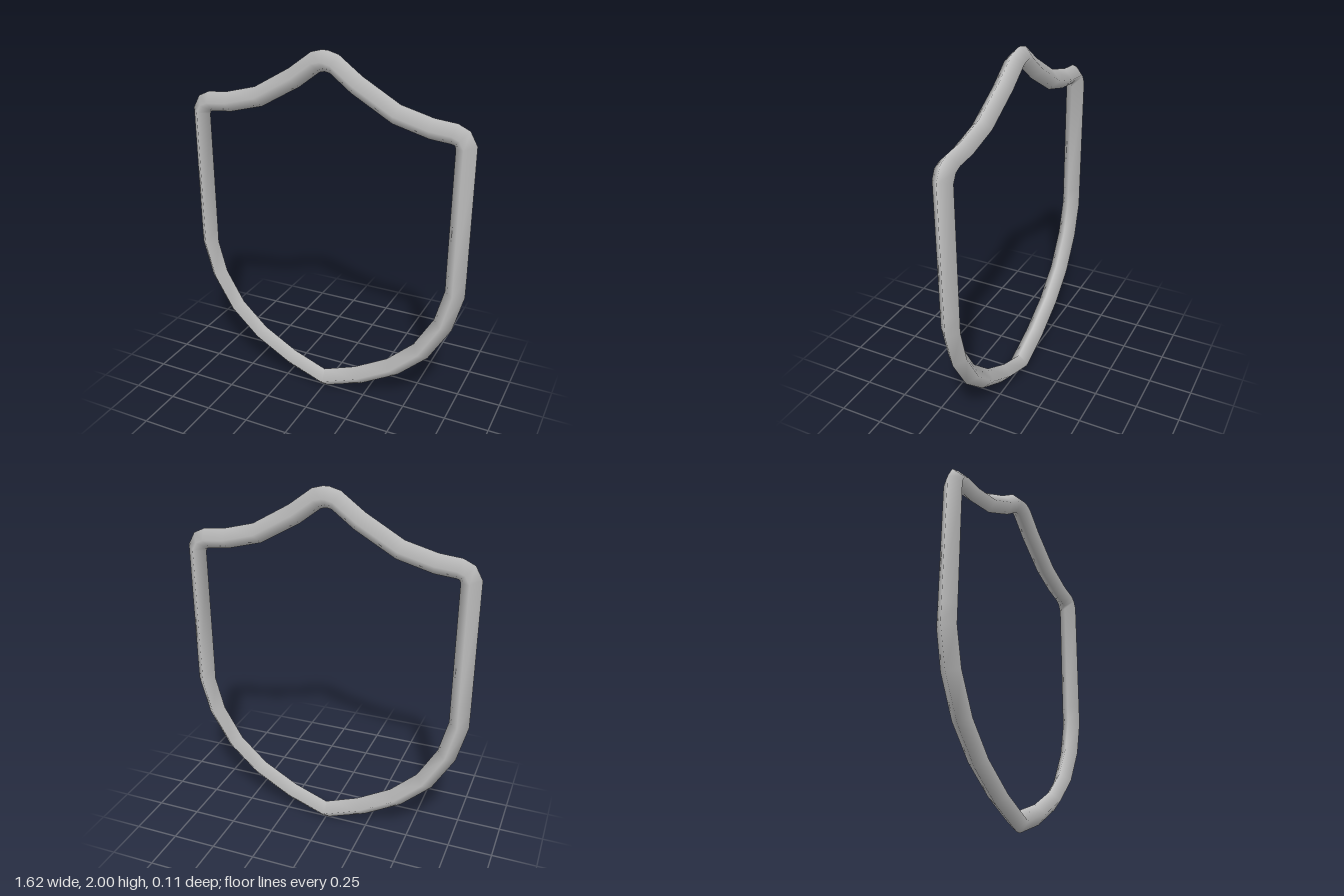
import * as THREE from 'three';

const RADIUS = 0.055;
const SIDES = 4;

// Centre line of the left half, from the top peak down to the bottom tip
const half = [
  [0.01, 1.945], [0.053, 1.934], [0.175, 1.843], [0.39, 1.72], [0.575, 1.671],
  [0.69, 1.66], [0.73, 1.643], [0.753, 1.6], [0.753, 0.905], [0.753, 0.8],
  [0.7, 0.6], [0.585, 0.403], [0.425, 0.253], [0.22, 0.135], [0.01, 0.056],
];

// Closed bar of diamond section with smooth normals, swept around the outline
function closedBar(points) {
  const n = points.length;
  const position = [], normal = [], index = [];
  points.forEach((p, i) => {
    const before = p.clone().sub(points[(i + n - 1) % n]).normalize();
    const after = points[(i + 1) % n].clone().sub(p).normalize();
    const t = before.add(after).normalize();
    for (let j = 0; j < SIDES; j++) {
      const a = (j / SIDES) * Math.PI * 2;
      const d = [t.y * Math.cos(a), -t.x * Math.cos(a), Math.sin(a)];
      position.push(p.x + d[0] * RADIUS, p.y + d[1] * RADIUS, d[2] * RADIUS);
      normal.push(...d);
      const k = (j + 1) % SIDES, next = (i + 1) % n;
      const A = i * SIDES + j, B = next * SIDES + j;
      const C = i * SIDES + k, D = next * SIDES + k;
      index.push(A, B, C, B, D, C);
    }
  });
  const g = new THREE.BufferGeometry();
  g.setAttribute('position', new THREE.Float32BufferAttribute(position, 3));
  g.setAttribute('normal', new THREE.Float32BufferAttribute(normal, 3));
  g.setIndex(index);
  return g;
}

export function createModel() {
  const group = new THREE.Group();
  group.name = 'shieldOutline';
  const grey = new THREE.MeshStandardMaterial({ color: 0xc0c0c0 });
  grey.name = 'light grey';

  // Mirror the half outline into a counter-clockwise loop
  const outline = [
    ...half.map(([x, y]) => new THREE.Vector2(-x, y)),
    ...half.slice().reverse().map(([x, y]) => new THREE.Vector2(x, y)),
  ];
  const frame = new THREE.Mesh(closedBar(outline), grey);
  frame.name = 'shieldFrame';
  group.add(frame);
  return group;
}
